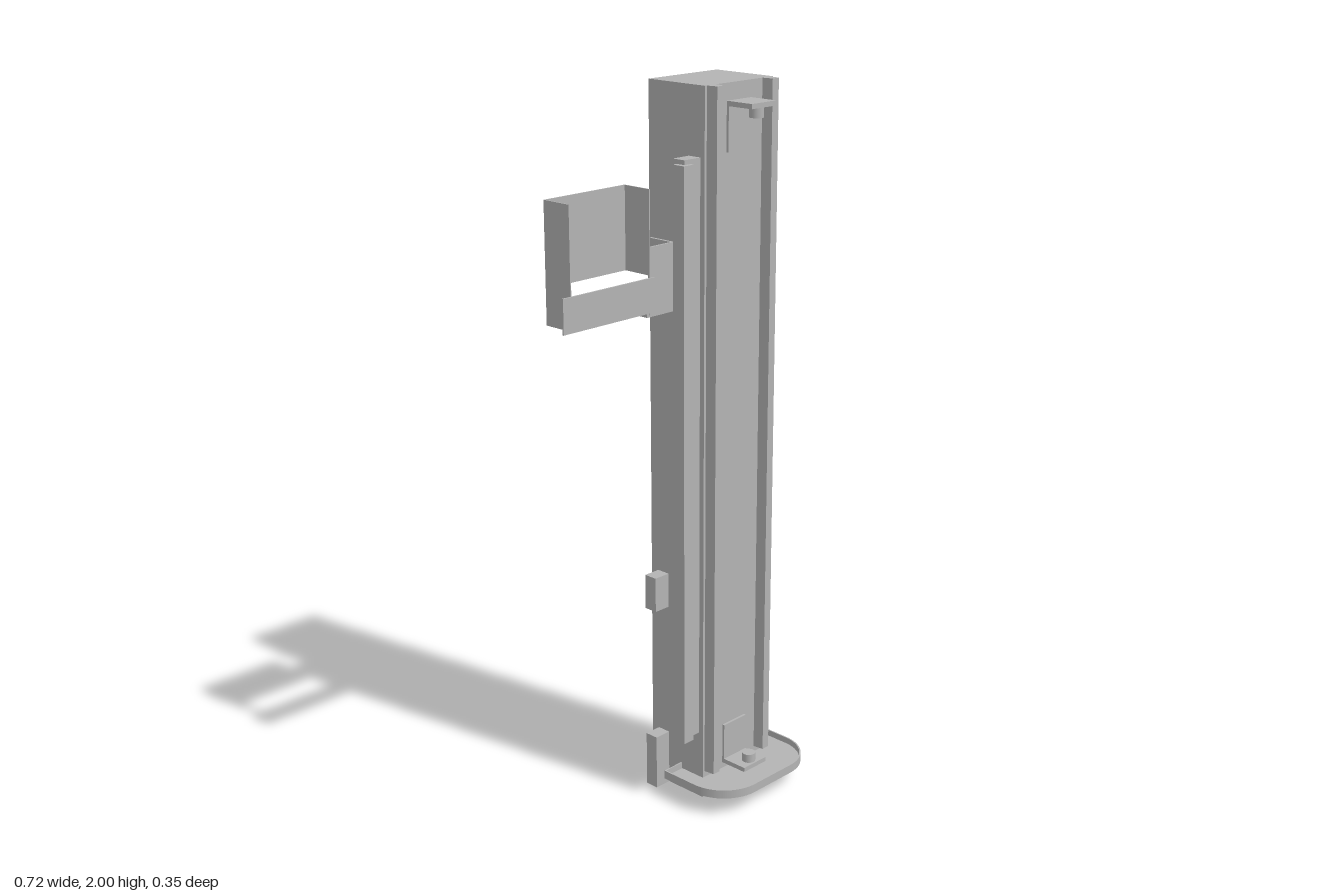
import * as THREE from 'three';

export function createModel() {
  const model = new THREE.Group();
  const grey = new THREE.MeshStandardMaterial({ color: 0xb4b4b4 });
  grey.name = 'grey metal';

  const add = (name, geometry) => {
    const mesh = new THREE.Mesh(geometry, grey);
    mesh.name = name;
    model.add(mesh);
    return mesh;
  };
  // Box given by its limits on each axis
  const box = (name, x0, x1, y0, y1, z0, z1) =>
    add(name, new THREE.BoxGeometry(x1 - x0, y1 - y0, z1 - z0))
      .position.set((x0 + x1) / 2, (y0 + y1) / 2, (z0 + z1) / 2);
  // Shape drawn in x and -z, extruded upwards from y0 to y1
  const upright = (name, shape, y0, y1) => {
    const g = new THREE.ExtrudeGeometry(shape, { depth: y1 - y0, bevelEnabled: false, curveSegments: 16 });
    g.rotateX(-Math.PI / 2);
    add(name, g).position.y = y0;
  };

  // Column with two tapered front rails
  box('column', 0.036, 0.292, 0, 2, -0.175, 0.023);
  for (const [name, x] of [['rightRail', 0.06], ['leftRail', 0.268]]) {
    const rail = new THREE.Shape([[-0.017, -0.02], [-0.012, -0.054], [0.012, -0.054], [0.017, -0.02]]
      .map(([dx, v]) => new THREE.Vector2(x + dx, v)));
    upright(name, rail, 0.08, 2);
  }

  // Foot tray: floor and thin rim with rounded front corners
  const trayOutline = (inset, Type) => {
    const x0 = -0.033 + inset, x1 = 0.36 - inset, back = 0.062 - inset;
    const front = -0.175 + inset, r = 0.12 - inset;
    const s = new Type();
    s.moveTo(x0, back);
    s.lineTo(x0, front + r);
    s.absarc(x0 + r, front + r, r, Math.PI, Math.PI * 1.5, false);
    s.lineTo(x1 - r, front);
    s.absarc(x1 - r, front + r, r, Math.PI * 1.5, Math.PI * 2, false);
    s.lineTo(x1, back);
    s.closePath();
    return s;
  };
  upright('trayFloor', trayOutline(0, THREE.Shape), 0.055, 0.062);
  const rim = trayOutline(0, THREE.Shape);
  rim.holes.push(trayOutline(0.004, THREE.Path));
  upright('trayRim', rim, 0.062, 0.08);

  // Upper and lower clips: back plate, ledge and round peg
  const clip = (name, plateY0, plateY1, ledgeY0, pegY) => {
    box(name + 'Plate', 0.117, 0.208, plateY0, plateY1, 0.022, 0.03);
    box(name + 'Ledge', 0.117, 0.208, ledgeY0, ledgeY0 + 0.013, 0.023, 0.108);
    add(name + 'Peg', new THREE.CylinderGeometry(0.019, 0.019, 0.028, 24)).position.set(0.162, pegY, 0.084);
  };
  clip('upperClip', 1.825, 1.95, 1.942, 1.929);
  clip('lowerClip', 0.08, 0.2, 0.08, 0.104);

  // Side bar on its long mounting strip
  box('sideBarMount', -0.022, 0.037, 0.2, 1.82, -0.032, 0.008);
  box('sideBar', -0.036, 0.001, 0.195, 1.808, -0.019, 0.02);

  // Small blocks on the side of the column
  box('lowerBlock', -0.015, 0.037, 0, 0.16, -0.15, -0.11);
  box('middleBlock', -0.015, 0.037, 0.55, 0.65, -0.15, -0.11);

  // Holder bracket: wall plate, shelf and front web
  box('bracketWallPlate', 0.028, 0.037, 1.405, 1.59, -0.168, -0.085);
  box('bracketShelf', -0.065, 0.03, 1.405, 1.418, -0.168, -0.085);
  box('bracketWeb', -0.056, 0.03, 1.41, 1.59, -0.09, -0.084);

  // Open holder made of thin sheets
  box('holderBack', -0.333, -0.053, 1.516, 1.74, -0.175, -0.172);
  box('holderOuterWall', -0.333, -0.33, 1.42, 1.74, -0.175, -0.084);
  box('holderInnerWall', -0.056, -0.053, 1.516, 1.74, -0.175, -0.084);
  box('holderFrontStrip', -0.362, -0.04, 1.417, 1.51, -0.085, -0.08);

  return model;
}
